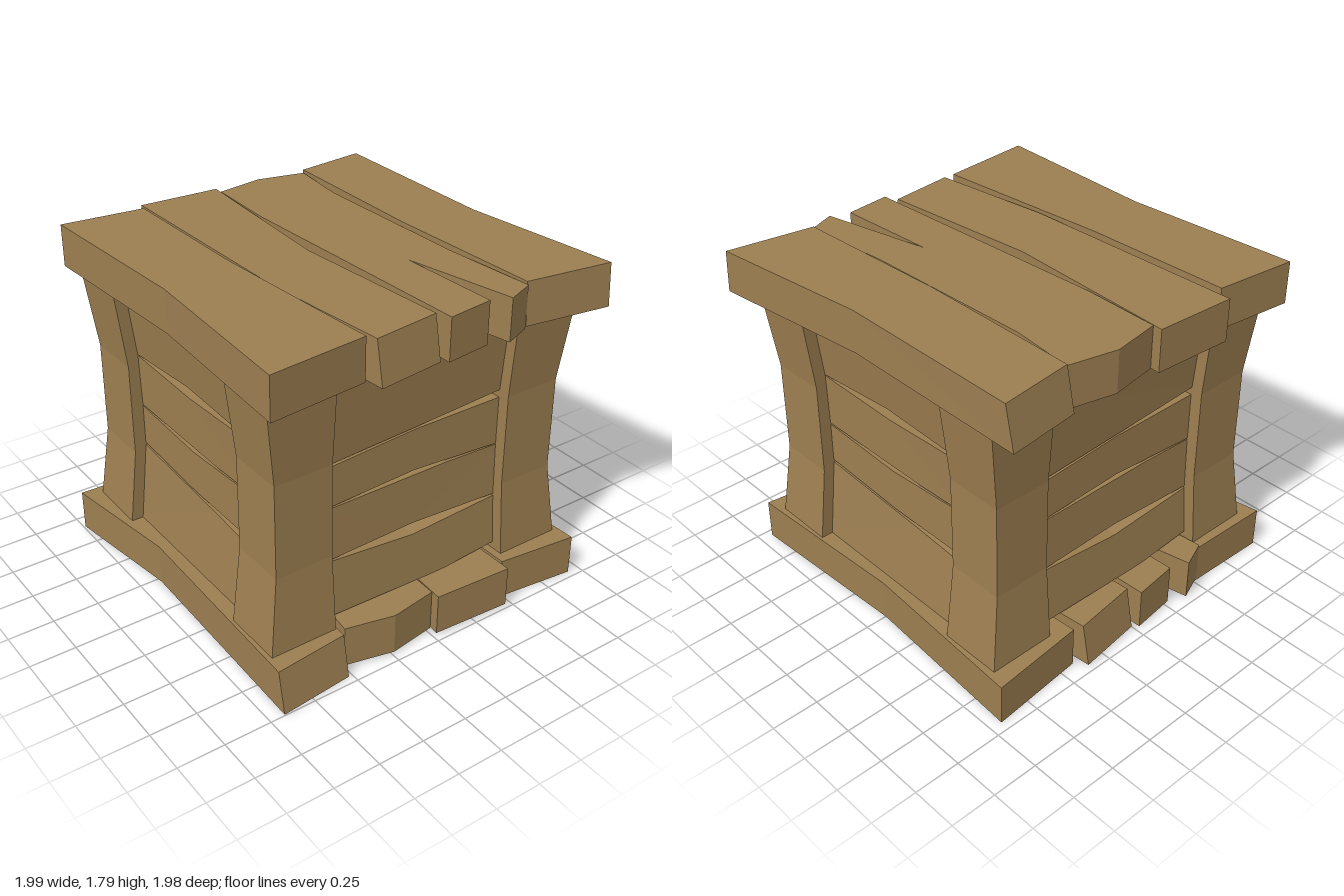
import * as THREE from 'three';

const wood = new THREE.MeshStandardMaterial({ color: 0x9d7f51 });
wood.name = 'wood';

function addMesh(parent, geometry, name) {
  const flat = geometry.index ? geometry.toNonIndexed() : geometry;
  flat.computeVertexNormals();
  const mesh = new THREE.Mesh(flat, wood);
  mesh.name = name;
  parent.add(mesh);
}

function extrude(points, depth) {
  const shape = new THREE.Shape(points.map(([x, y]) => new THREE.Vector2(x, y)));
  return new THREE.ExtrudeGeometry(shape, { depth, bevelEnabled: false });
}

// Rough planks; outlines are [x, z], left/right splay the lower ends
const lidPlanks = [
  { left: 0.05, right: 0.015, outline: [[-0.945, -0.9], [0.08, -0.89], [0.96, -0.99], [0.89, -0.52], [0, -0.49], [-0.9, -0.505]] },
  { left: 0, right: 0, outline: [[-0.89, -0.5], [-0.55, -0.462], [0.4, -0.48], [0.9, -0.52], [0.96, -0.37], [0.36, -0.245], [0.92, -0.27], [0.95, -0.02], [-0.5, 0.035], [-0.91, 0.02], [-0.95, -0.24]] },
  { left: 0, right: 0.045, outline: [[-0.96, 0.02], [-0.8, 0.03], [0, 0.08], [0.88, 0.01], [0.925, 0.37], [0.26, 0.44], [-0.985, 0.458]] },
  { left: 0, right: 0, outline: [[-0.91, 0.485], [-0.1, 0.475], [0.9, 0.41], [0.95, 0.935], [0, 0.88], [-0.96, 0.93]] },
];

// The base differs in its edge plank only
const basePlanks = [
  { left: 0.045, right: 0, outline: [[-0.95, -0.92], [0.22, -0.89], [0.91, -0.99], [0.9, -0.5], [0, -0.49], [-0.91, -0.52]] },
  ...lidPlanks.slice(1),
];

// innerStep offsets the two middle planks in height
function plankDeck(name, planks, innerStep) {
  const deck = new THREE.Group();
  deck.name = name;
  planks.forEach(({ left, right, outline }, index) => {
    const g = extrude(outline.map(([x, z]) => [x, -z]), 0.226);
    g.rotateX(-Math.PI / 2);
    const p = g.attributes.position;
    for (let i = 0; i < p.count; i++) {
      const x = p.getX(i);
      if (p.getY(i) > 0.1 || Math.abs(x) < 0.8) continue;
      p.setX(i, x < 0 ? x - left : x + right);
    }
    if (index === 1 || index === 2) g.translate(0, innerStep, 0);
    addMesh(deck, g, 'plank');
  });
  return deck;
}

// Corner post, waisted on its two outer sides
function addPost(parent, sx, sz) {
  const g = new THREE.BoxGeometry(1, 1, 1, 1, 3, 1);
  const p = g.attributes.position;
  const heights = [0.21, 0.64, 1.145, 1.58];
  for (let i = 0; i < p.count; i++) {
    const level = Math.round((p.getY(i) + 0.5) * 3);
    const waist = level === 1 || level === 2;
    const outerX = p.getX(i) * sx > 0, outerZ = p.getZ(i) * sz > 0;
    p.setXYZ(i,
      sx * (outerX ? (waist ? 0.82 : 0.853) : 0.51),
      heights[level],
      sz * (outerZ ? (waist ? 0.84 : 0.893) : 0.525));
  }
  addMesh(parent, g, 'cornerPost');
}

// Warped wall boards, outlines are [x, y]
const boards = [
  [[-0.56, 0.22], [0.56, 0.22], [0.56, 0.605], [0.18, 0.63], [-0.56, 0.67]],
  [[-0.56, 0.685], [0, 0.65], [0.56, 0.65], [0.56, 0.918], [0, 0.88], [-0.56, 0.905]],
  [[-0.56, 0.91], [0.2, 0.908], [0.56, 0.922], [0.56, 1.215], [0, 1.185], [-0.56, 1.2]],
  [[-0.56, 1.2], [0, 1.25], [0.56, 1.222], [0.56, 1.498], [0.18, 1.527], [-0.56, 1.51]],
];

// Walls follow the waist of the posts: flare pushes top and bottom outwards
function wall(name, outer, flare, angle, upsideDown) {
  const group = new THREE.Group();
  group.name = name;
  const depth = 0.185;
  for (const outline of boards) {
    const g = extrude(outline, depth);
    g.translate(0, 0, -depth / 2);
    const p = g.attributes.position;
    for (let i = 0; i < p.count; i++) {
      const inner = upsideDown ? p.getZ(i) > 0 : p.getZ(i) < 0;
      if (inner && p.getY(i) > 1.45) p.setY(i, p.getY(i) + 0.025);
    }
    if (upsideDown) g.rotateX(Math.PI).translate(0, 1.765, 0);
    for (let i = 0; i < p.count; i++) {
      const bend = Math.max(0, Math.abs(p.getY(i) - 0.89) - 0.25) / 0.41;
      p.setZ(i, p.getZ(i) + outer - depth / 2 + flare * bend);
    }
    addMesh(group, g, 'wallBoard');
  }
  group.rotation.y = angle;
  return group;
}

export function createModel() {
  const model = new THREE.Group();
  model.name = 'crate';

  const lid = plankDeck('lid', lidPlanks, -0.014);
  lid.position.y = 1.565;
  const base = plankDeck('base', basePlanks, 0.014);
  base.rotation.y = Math.PI;
  model.add(lid, base);

  for (const sx of [-1, 1]) for (const sz of [-1, 1]) addPost(model, sx, sz);

  model.add(
    wall('frontWall', 0.775, 0.05, 0, false),
    wall('backWall', 0.775, 0.05, Math.PI, false),
    wall('leftWall', 0.755, 0.035, Math.PI / 2, true),
    wall('rightWall', 0.755, 0.035, -Math.PI / 2, true),
  );
  return model;
}
